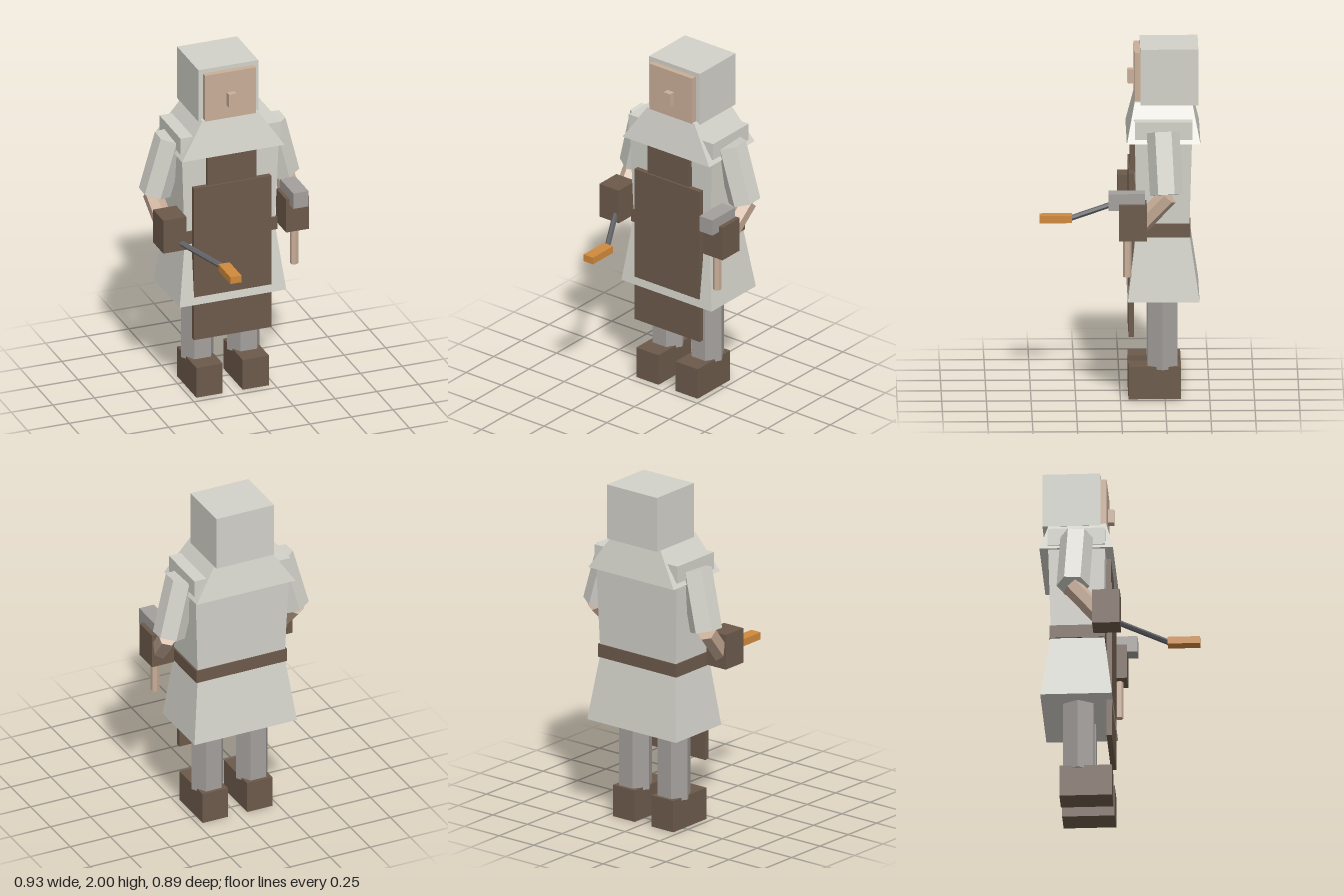
import * as THREE from 'three';

const material = (name, color) => {
  const m = new THREE.MeshStandardMaterial({ color, flatShading: true });
  m.name = name;
  return m;
};

export function createModel() {
  const model = new THREE.Group();
  model.name = 'smith';

  const cloth = material('paleCloth', 0xd2d1c9);
  const skin = material('skin', 0xc9ae98);
  const leather = material('leather', 0x6c5a4b);
  const grey = material('grey', 0xa39f9c);
  const iron = material('darkIron', 0x626367);
  const hot = material('glowingMetal', 0xd08a3c);

  const add = (name, geometry, mat) => {
    const mesh = new THREE.Mesh(geometry, mat);
    mesh.name = name;
    model.add(mesh);
    return mesh;
  };

  // Box from its limits on each axis
  const box = (name, mat, [x0, x1], [y0, y1], [z0, z1]) => {
    const g = new THREE.BoxGeometry(Math.abs(x1 - x0), y1 - y0, z1 - z0);
    return add(name, g.translate((x0 + x1) / 2, (y0 + y1) / 2, (z0 + z1) / 2), mat);
  };

  // Tapered box: each end is [height, half width, back z, front z]
  const taper = (name, mat, bottom, top) => {
    const g = new THREE.BoxGeometry(2, 2, 2);
    const p = g.attributes.position;
    for (let i = 0; i < p.count; i++) {
      const [y, w, back, front] = p.getY(i) > 0 ? top : bottom;
      p.setXYZ(i, p.getX(i) * w, y, p.getZ(i) > 0 ? front : back);
    }
    g.computeVertexNormals();
    return add(name, g, mat);
  };

  // Faceted rod between two points
  const rod = (name, mat, from, to, r0, r1 = r0, sides = 6) => {
    const a = new THREE.Vector3(...from), b = new THREE.Vector3(...to);
    const dir = b.clone().sub(a);
    const mesh = add(name, new THREE.CylinderGeometry(r1, r0, dir.length(), sides), mat);
    mesh.quaternion.setFromUnitVectors(new THREE.Vector3(0, 1, 0), dir.normalize());
    mesh.position.copy(a.add(b).multiplyScalar(0.5));
    return mesh;
  };

  // Head and hood
  box('hood', cloth, [-0.18, 0.18], [1.68, 2], [-0.437, -0.112]);
  box('face', skin, [-0.152, 0.152], [1.68, 1.975], [-0.112, -0.079]);
  box('nose', skin, [-0.023, 0.023], [1.77, 1.85], [-0.079, -0.044]);
  taper('hoodCape', cloth, [1.485, 0.308, -0.447, -0.035], [1.695, 0.168, -0.402, -0.08]);

  // Tunic and belt
  taper('tunicTop', cloth, [0.98, 0.272, -0.385, -0.09], [1.52, 0.292, -0.4, -0.08]);
  box('belt', leather, [-0.282, 0.282], [0.945, 1.022], [-0.392, -0.08]);
  taper('tunicSkirt', cloth, [0.58, 0.32, -0.442, -0.04], [0.96, 0.272, -0.385, -0.086]);

  // Apron
  box('apron', leather, [-0.232, 0.232], [0.36, 1.302], [-0.075, -0.0455]);
  box('apronBib', leather, [-0.147, 0.147], [1.29, 1.51], [-0.082, -0.055]);

  // Limbs on both sides
  for (const s of [1, -1]) {
    const side = s > 0 ? 'left' : 'right';
    rod(side + 'Leg', grey, [s * 0.139, 0.17, -0.236], [s * 0.139, 0.62, -0.236], 0.098).rotateY(Math.PI / 6);
    box(side + 'Boot', leather, [s * 0.06, s * 0.218], [0, 0.185], [-0.34, -0.045]);
    box(side + 'ShoulderPad', cloth, [s * 0.225, s * 0.3], [1.51, 1.61], [-0.402, -0.08]);
    rod(side + 'Sleeve', cloth, [s * 0.387, 1.213, -0.255], [s * 0.297, 1.553, -0.238], 0.092);
    rod(side + 'Forearm', skin, [s * 0.37, 1.03, -0.1], [s * 0.398, 1.21, -0.265], 0.056);
    box(side + 'Glove', leather, [s * 0.3, s * 0.438], [0.96, 1.165], [-0.145, 0.01]);
  }

  // Hammer in the left hand
  box('hammerHead', grey, [0.32, 0.412], [1.13, 1.225], [-0.135, 0.068]);
  rod('hammerHandle', skin, [0.365, 0.74, -0.036], [0.365, 1.14, -0.036], 0.024);

  // Iron bar with a hot end in the right hand
  rod('ironBar', iron, [-0.365, 1.018, -0.06], [-0.173, 0.947, 0.28], 0.016);
  box('hotMetal', hot, [-0.207, -0.14], [0.928, 0.97], [0.265, 0.447]);

  return model;
}
